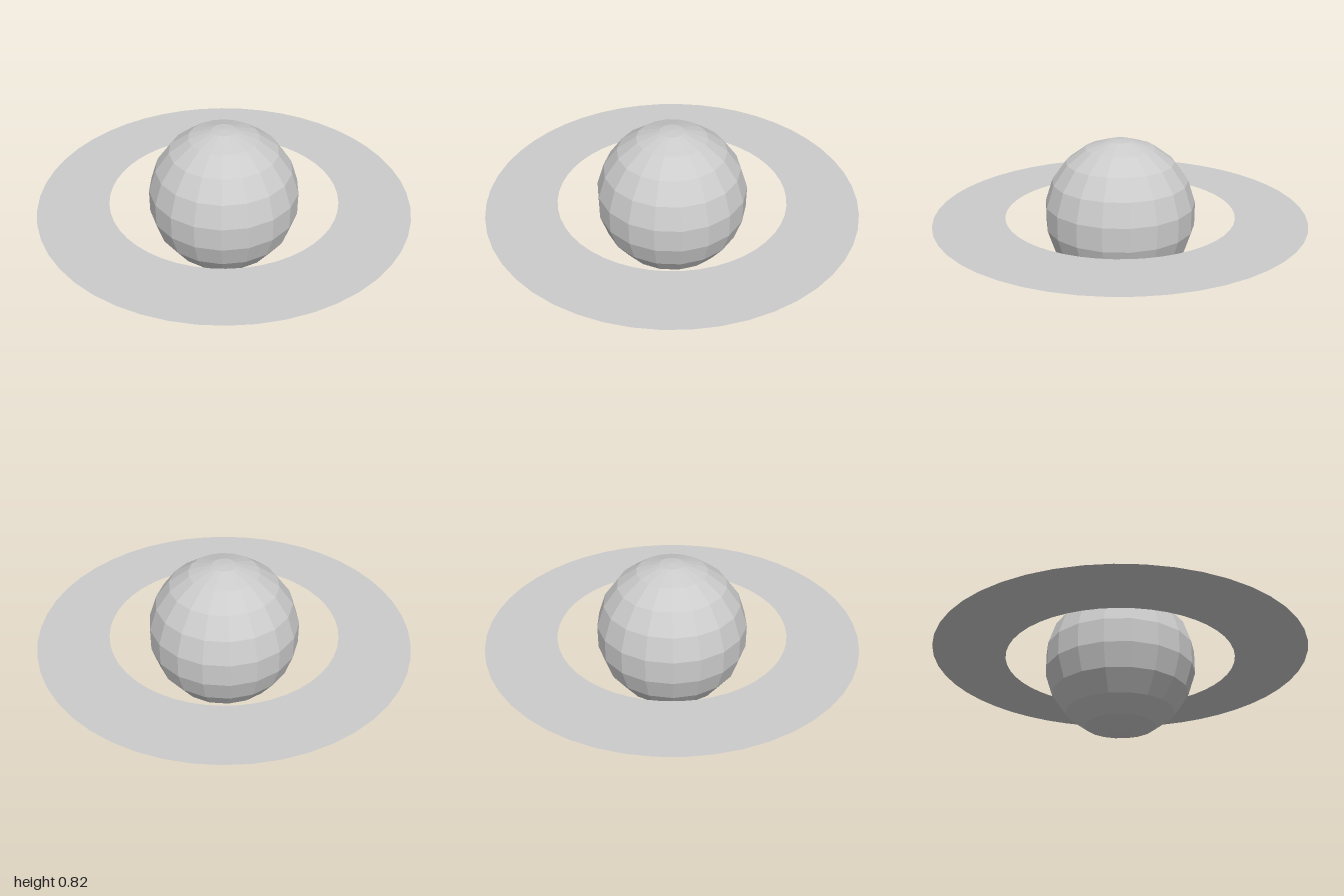
import * as THREE from 'three';

const RADIUS = 0.41;

export function createModel() {
  const model = new THREE.Group();

  // Faceted globe: rings of latitude every 18 degrees, closed by a shallow fan at each pole
  const profile = [new THREE.Vector2(0, -RADIUS)];
  for (let deg = -81; deg <= 81; deg += 18) {
    const a = THREE.MathUtils.degToRad(deg);
    profile.push(new THREE.Vector2(RADIUS * Math.cos(a), RADIUS * Math.sin(a)));
  }
  profile.push(new THREE.Vector2(0, RADIUS));
  const globe = new THREE.Mesh(
    new THREE.LatheGeometry(profile, 18),
    new THREE.MeshStandardMaterial({ color: 0xcccccc, flatShading: true })
  );
  globe.name = 'globe';
  globe.position.y = RADIUS;
  model.add(globe);

  // Thin flat ring around the equator
  const ring = new THREE.Mesh(
    new THREE.RingGeometry(0.62, 1, 48),
    new THREE.MeshStandardMaterial({ color: 0xcccccc, side: THREE.DoubleSide })
  );
  ring.name = 'ring';
  ring.rotation.x = -Math.PI / 2;
  ring.position.y = RADIUS;
  model.add(ring);

  return model;
}
